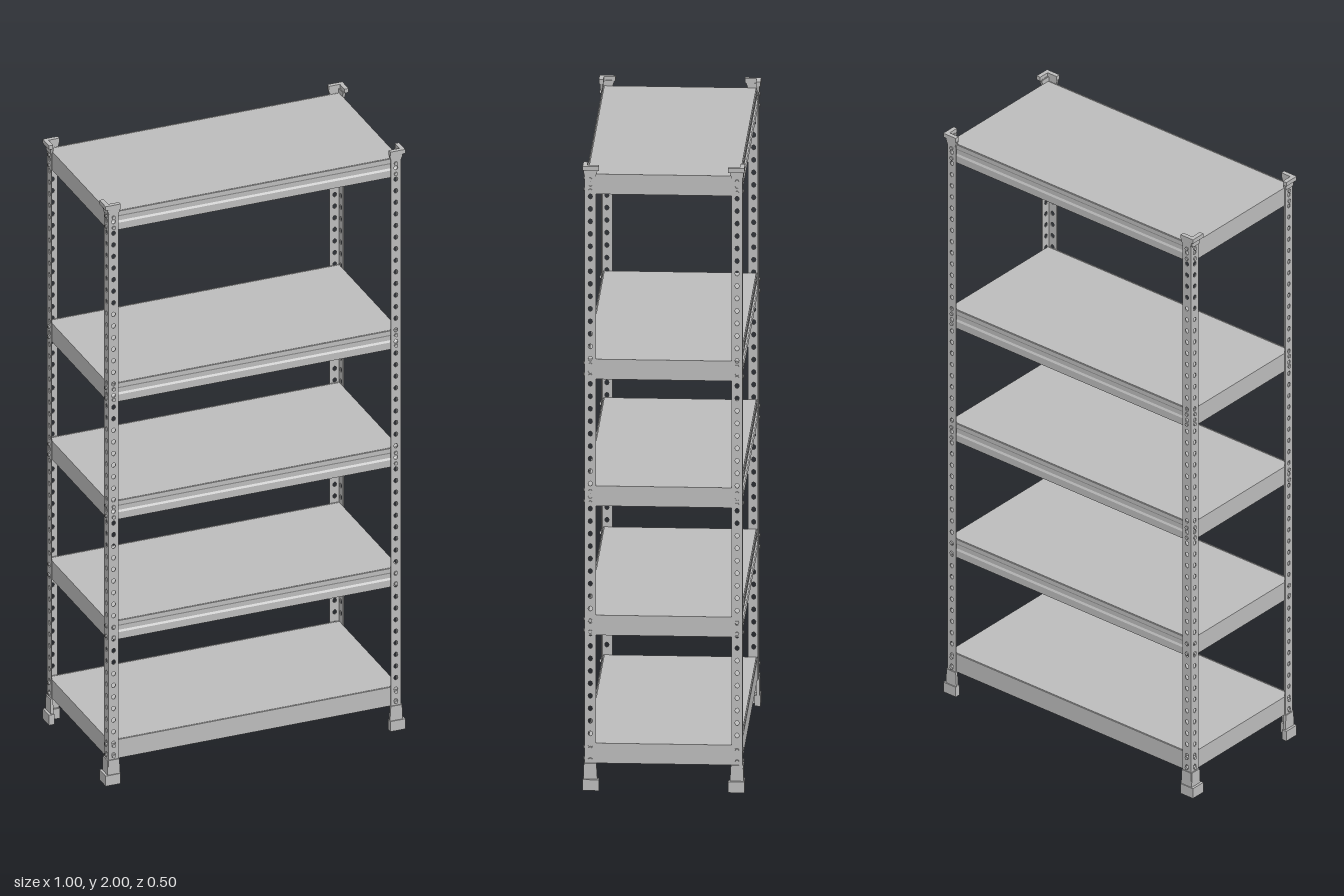
import * as THREE from 'three';

const steel = new THREE.MeshStandardMaterial({ color: 0xbcbcbc });
steel.name = 'galvanised grey';

// Outer limits of the uprights and the underside height of each shelf
const POST_X = 0.488, POST_Z = 0.243, FLANGE = 0.034, SHEET = 0.003;
const SHELVES = [0.084, 0.494, 0.908, 1.314, 1.907];
const SHELF_H = 0.064, SIDE_H = 0.047;

function add(parent, name, geometry) {
  const mesh = new THREE.Mesh(geometry, steel);
  mesh.name = name;
  parent.add(mesh);
  return mesh;
}

function polygon(points) {
  return new THREE.Shape(points.map(([x, y]) => new THREE.Vector2(x, y)));
}

// Flat plate in the xy plane, centred on z = 0
function plate(shape, thickness) {
  return new THREE.ExtrudeGeometry(shape, { depth: thickness, bevelEnabled: false, curveSegments: 4 })
    .translate(0, 0, -thickness / 2);
}

// One perforated leg of an angle upright
function flangeGeometry() {
  const w = FLANGE / 2, y0 = 0.02, y1 = 1.988;
  const shape = polygon([[-w, y0], [w, y0], [w, y1], [-w, y1]]);
  for (let y = 0.1; y < 1.97; y += 0.04) {
    shape.holes.push(new THREE.Path().absellipse(0, y, 0.0065, 0.008, 0, Math.PI * 2, true));
  }
  return plate(shape, SHEET);
}

// Places a symmetric plate on both legs of the angle at one corner
function angled(parent, name, geometry, sx, sz, outX, outZ, width, thickness) {
  const a = add(parent, name + 'Front', geometry);
  a.position.set(sx * (outX - width / 2), 0, sz * (outZ - thickness / 2));
  const b = add(parent, name + 'Side', geometry);
  b.rotation.y = Math.PI / 2;
  b.position.set(sx * (outX - thickness / 2), 0, sz * (outZ - width / 2));
}

// Beam section: first value runs inward, second runs up
function beamSection(h, ridged) {
  const t = SHEET, lip = 0.012;
  const outer = ridged
    ? [[0, 0], [0, 0.024], [0.004, 0.03], [0.004, 0.044], [0, 0.05], [0, h]]
    : [[0, 0], [0, h]];
  const inner = outer.slice(1).reverse().map(([d, y]) => [d + t, y]);
  return polygon([...outer, ...inner, [t, t], [lip, t], [lip, 0]].reverse());
}

function addBeam(parent, name, length, distance, h, ridged, angle, y) {
  const g = plate(beamSection(h, ridged), length);
  g.rotateY(Math.PI / 2).translate(0, 0, distance);
  const beam = add(parent, name, g);
  beam.rotation.y = angle;
  beam.position.y = y;
}

export function createModel() {
  const model = new THREE.Group();
  model.name = 'shelvingUnit';

  // Shelves: a board in a frame of four beams
  SHELVES.forEach((y, i) => {
    const shelf = new THREE.Group();
    shelf.name = 'shelf' + (i + 1);
    model.add(shelf);
    const board = add(shelf, 'board', new THREE.BoxGeometry(0.968, SHELF_H - SIDE_H, 0.468));
    board.position.y = y + (SHELF_H + SIDE_H) / 2;
    for (const [side, angle] of [['front', 0], ['back', Math.PI]]) {
      addBeam(shelf, side + 'Beam', 0.968, 0.239, SHELF_H, i > 0, angle, y);
    }
    for (const [side, angle] of [['left', Math.PI / 2], ['right', -Math.PI / 2]]) {
      addBeam(shelf, side + 'Beam', 0.468, 0.484, SIDE_H, false, angle, y);
    }
  });

  const flange = flangeGeometry();
  const bolt = new THREE.CylinderGeometry(0.006, 0.006, 0.016, 8).rotateX(Math.PI / 2);
  // Feet and caps: thick pad plus a tapering sleeve on each leg of the angle
  const footPad = new THREE.BoxGeometry(0.05, 0.035, 0.018).translate(0, 0.0175, 0);
  const footSleeve = plate(polygon([[-0.021, 0.035], [0.021, 0.035], [0.018, 0.085], [-0.018, 0.085]]), 0.009);
  const capPad = new THREE.BoxGeometry(0.05, 0.014, 0.014).translate(0, 1.993, 0);
  const capSleeve = plate(polygon([[-0.016, 1.966], [0.016, 1.966], [0.022, 1.986], [-0.022, 1.986]]), 0.009);

  for (const sx of [-1, 1]) for (const sz of [-1, 1]) {
    const post = new THREE.Group();
    post.name = (sz > 0 ? 'front' : 'back') + (sx > 0 ? 'Left' : 'Right') + 'Post';
    model.add(post);
    angled(post, 'flange', flange, sx, sz, POST_X, POST_Z, FLANGE, SHEET);
    angled(post, 'footPad', footPad, sx, sz, 0.5, 0.249, 0.05, 0.018);
    angled(post, 'footSleeve', footSleeve, sx, sz, 0.492, 0.246, 0.042, 0.009);
    angled(post, 'capPad', capPad, sx, sz, 0.5, 0.249, 0.05, 0.014);
    angled(post, 'capSleeve', capSleeve, sx, sz, 0.492, 0.246, 0.042, 0.009);

    // Two rows of bolts where each shelf meets the post
    for (const y of SHELVES) for (const dy of [0.012, 0.048]) {
      const a = add(post, 'frontBolt', bolt);
      a.position.set(sx * (POST_X - FLANGE / 2), y + dy, sz * (POST_Z - 0.004));
      const b = add(post, 'sideBolt', bolt);
      b.rotation.y = Math.PI / 2;
      b.position.set(sx * (POST_X - 0.004), y + dy, sz * (POST_Z - FLANGE / 2));
    }
  }
  return model;
}
